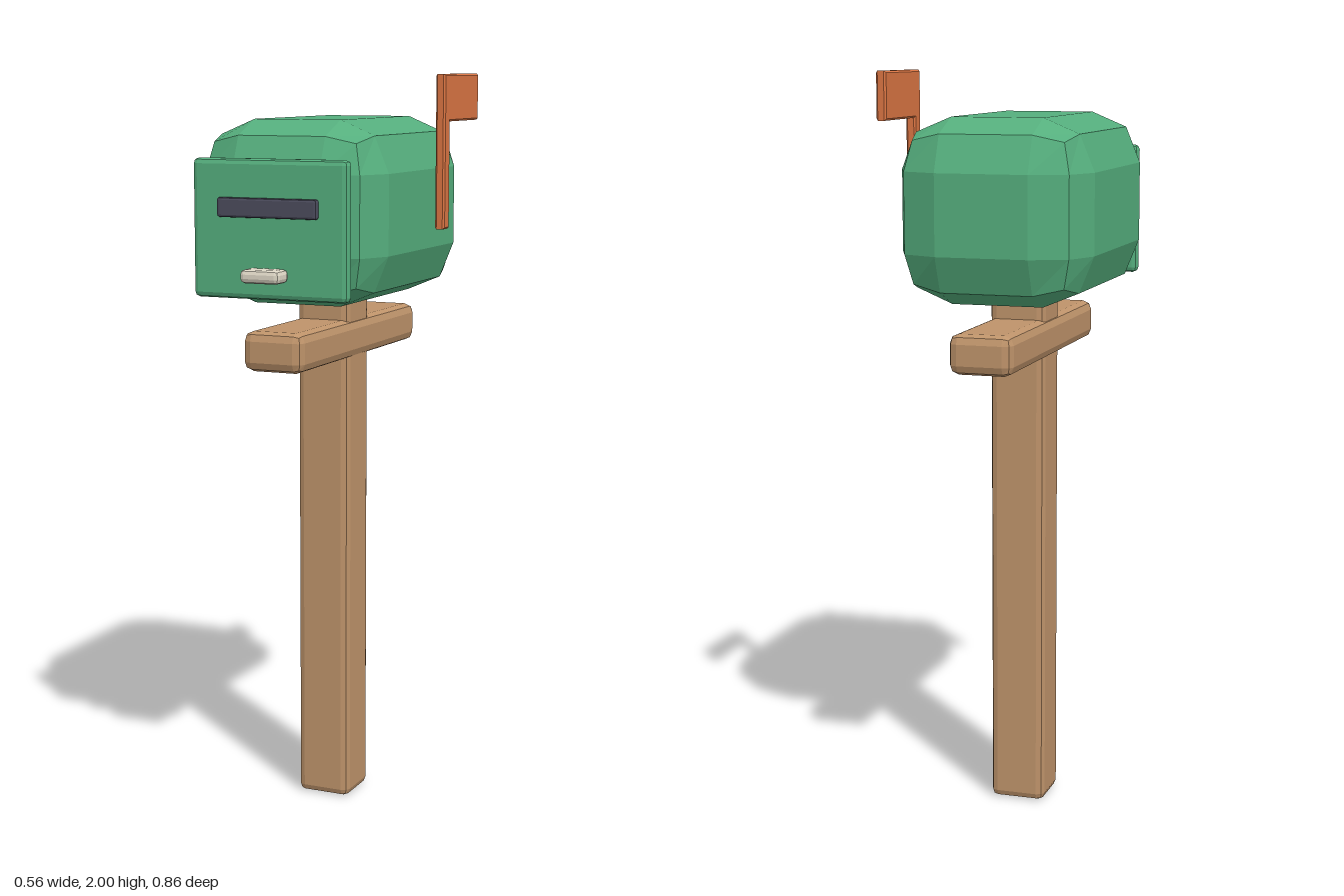
import * as THREE from 'three';
import { RoundedBoxGeometry } from 'three/addons/geometries/RoundedBoxGeometry.js';

const paint = (color) => new THREE.MeshStandardMaterial({ color, flatShading: true });

export function createModel() {
  const group = new THREE.Group();
  const wood = paint(0xbe936a);
  const green = paint(0x55ae7d);
  const dark = paint(0x4b4b5c);
  const cream = paint(0xddd6c5);
  const orange = paint(0xdb7543);

  const add = (name, geometry, material) => {
    const mesh = new THREE.Mesh(geometry, material);
    mesh.name = name;
    group.add(mesh);
    return mesh;
  };

  // Bevelled block given by its extents on each axis
  const block = (name, [x0, x1], [y0, y1], [z0, z1], bevel, material) =>
    add(name, new RoundedBoxGeometry(x1 - x0, y1 - y0, z1 - z0, 1, bevel), material)
      .position.set((x0 + x1) / 2, (y0 + y1) / 2, (z0 + z1) / 2);

  // Wooden support
  block('post', [-0.098, 0.053], [0, 1.45], [-0.11, 0.04], 0.02, wood);
  block('crossbar', [-0.108, 0.062], [1.243, 1.348], [-0.428, 0.355], 0.025, wood);

  // Box with its front door, slot and handle
  block('body', [-0.28, 0.235], [1.405, 1.885], [-0.408, 0.328], 0.135, green);
  block('door', [-0.24, 0.195], [1.433, 1.79], [0.328, 0.365], 0.014, green);
  block('slot', [-0.162, 0.117], [1.642, 1.692], [0.36, 0.382], 0.006, dark);
  block('handle', [-0.077, 0.033], [1.48, 1.515], [0.362, 0.427], 0.012, cream);

  // Signal flag: one L-shaped plate standing beside the box
  const bevel = 0.005;
  const outline = [[0.09, 1.59], [0.13, 1.59], [0.13, 1.875], [0.345, 1.875], [0.345, 2], [0.09, 2]];
  const flagShape = new THREE.Shape(outline.map(([u, y]) => new THREE.Vector2(u, y)));
  const flagGeometry = new THREE.ExtrudeGeometry(flagShape, {
    depth: 0.027 - 2 * bevel,
    bevelEnabled: true,
    bevelThickness: bevel,
    bevelSize: bevel,
    bevelOffset: -bevel,
    bevelSegments: 1,
  });
  flagGeometry.rotateY(Math.PI / 2);
  add('flag', flagGeometry, orange).position.x = 0.25 + bevel;

  return group;
}
